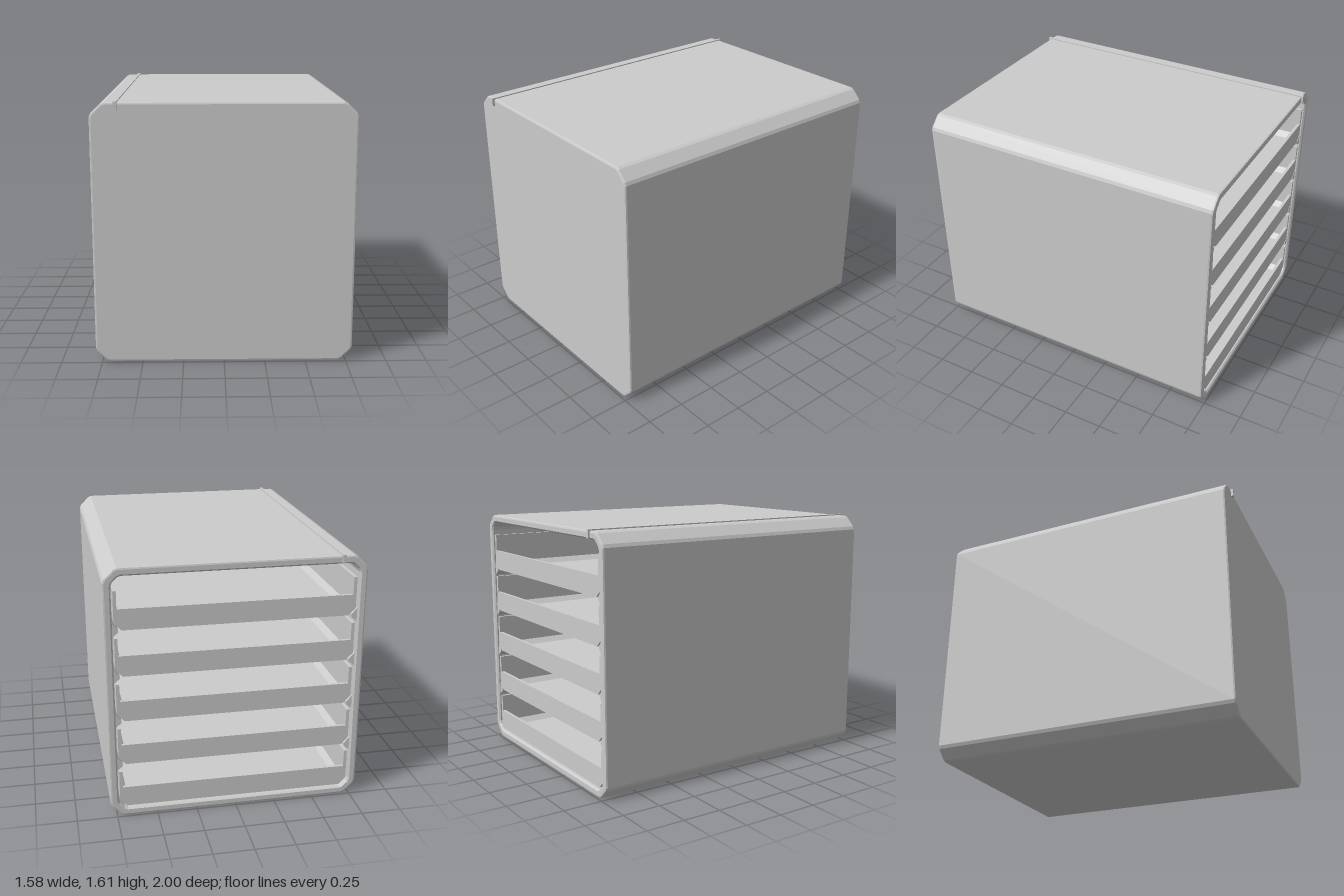
import * as THREE from 'three';

const material = new THREE.MeshStandardMaterial({ color: 0xcccccc, flatShading: true });
const W = 0.79, H = 0.8, CHAMFER = 0.075, WALL = 0.05;

function add(parent, name, geometry, x = 0, y = 0, z = 0) {
  const mesh = new THREE.Mesh(geometry, material);
  mesh.name = name;
  mesh.position.set(x, y, z);
  parent.add(mesh);
  return mesh;
}

// Chamfered rectangle moved inwards by `inset`, each corner softened by a small facet
function outline(inset, scale = 1) {
  const w = W - inset, h = H - inset, c = CHAMFER - 0.586 * inset;
  const octagon = [[w, -h + c], [w, h - c], [w - c, h], [-w + c, h],
    [-w, h - c], [-w, -h + c], [-w + c, -h], [w - c, -h]].map(p => new THREE.Vector2(...p));
  const points = [];
  octagon.forEach((p, i) => {
    const prev = octagon[(i + 7) % 8], next = octagon[(i + 1) % 8];
    for (const q of [prev, next]) {
      const dir = q.clone().sub(p).setLength(0.012);
      points.push(p.clone().add(dir).multiplyScalar(scale));
    }
  });
  return points;
}

// Hollow shell: rings run from the inside of the front wall, round the open back rim, to the outside front
function shellGeometry() {
  const rings = [[WALL, 0.94, 0], [WALL, 0.94], [WALL, -0.98], [WALL - 0.01, -0.99], [0.012, -0.99],
    [0.003, -0.987], [0, -0.978], [0, 0.973], [0.003, 0.982], [0.012, 0.985], [0.012, 0.985, 0]];
  const positions = [], index = [], n = 16;
  for (const [inset, z, scale] of rings)
    for (const p of outline(inset, scale)) positions.push(p.x, p.y + H, z);
  for (let r = 0; r < rings.length - 1; r++) {
    for (let i = 0; i < n; i++) {
      const a = r * n + i, b = r * n + (i + 1) % n;
      if (r < rings.length - 2) index.push(a, b, b + n, a, b + n, a + n);
      else index.push(a, b, a + n);
      if (r === 0) index.splice(-6, 6, a, b + n, a + n);
    }
  }
  const geometry = new THREE.BufferGeometry();
  geometry.setAttribute('position', new THREE.Float32BufferAttribute(positions, 3));
  geometry.setIndex(index);
  geometry.computeVertexNormals();
  return geometry;
}

function prism(points, depth) {
  const shape = new THREE.Shape(points.map(p => new THREE.Vector2(...p)));
  return new THREE.ExtrudeGeometry(shape, { depth, bevelEnabled: false });
}

// Tray with chamfered lower corners, tall sides and a low back panel
function makeTray() {
  const tray = new THREE.Group();
  tray.name = 'tray';
  const w = 0.73, c = 0.045, t = 0.02, top = 0.24, k = c - 0.586 * t;
  add(tray, 'trayBody', prism([[-w, top], [-w, c], [-w + c, 0], [w - c, 0], [w, c], [w, top],
    [w - t, top], [w - t, t + k], [w - t - k, t], [-w + t + k, t], [-w + t, t + k], [-w + t, top]], 1.9), 0, 0, -0.975);
  const u = w - t;
  const panel = prism([[-u, 0.13], [-u, t + k], [-u + k, t], [u - k, t], [u, t + k], [u, 0.13]], 0.02);
  add(tray, 'trayBack', panel, 0, 0, -0.975);
  add(tray, 'trayFront', panel, 0, 0, 0.905);
  return tray;
}

export function createModel() {
  const model = new THREE.Group();
  model.name = 'trayCabinet';
  add(model, 'shell', shellGeometry());

  // Stack of trays, with a pair of guide rails under every tray but the lowest
  const rail = prism([[-0.74, 0.045], [-0.74, -0.04], [-0.705, -0.012], [-0.705, 0.005]], 1.9);
  for (let i = 0; i < 5; i++) {
    const y = 0.06 + i * 0.29;
    const tray = makeTray();
    tray.position.y = y;
    model.add(tray);
    if (i === 0) continue;
    add(model, 'rightRail', rail, 0, y, -0.975);
    add(model, 'leftRail', rail, 0, y, 0.925).rotation.y = Math.PI;
  }

  // Thin strip let into the top
  add(model, 'topStrip', new THREE.BoxGeometry(0.02, 0.052, 2), -0.635, 1.581, 0);
  return model;
}
